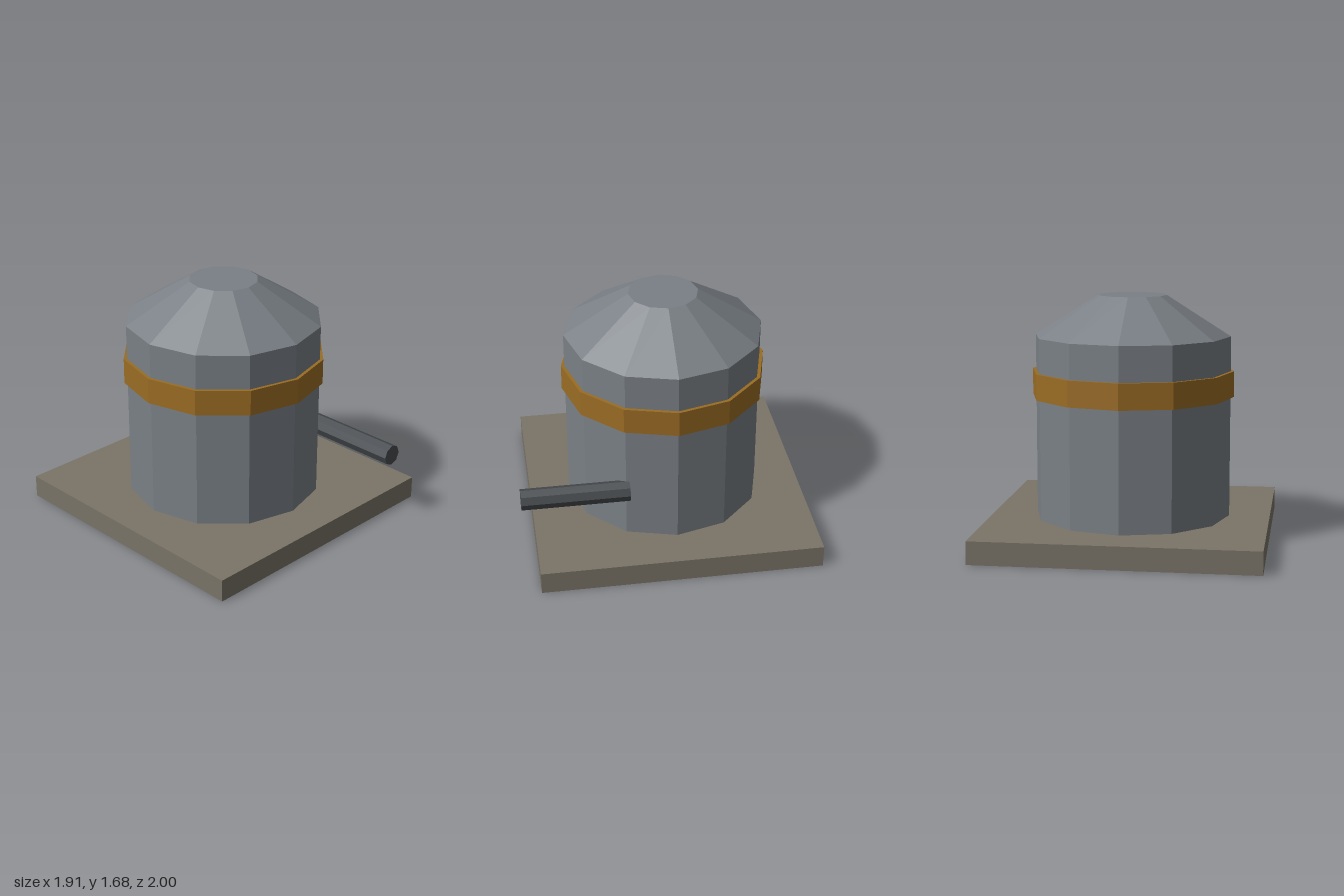
import * as THREE from 'three';

const CENTRE_Z = -0.045;

export function createModel() {
  const group = new THREE.Group();

  function add(name, geometry, color, x, y, z) {
    const material = new THREE.MeshStandardMaterial({ color, flatShading: true });
    const mesh = new THREE.Mesh(geometry, material);
    mesh.name = name;
    mesh.position.set(x, y, z);
    group.add(mesh);
    return mesh;
  }

  // Twelve-sided section between two heights on the tank axis
  function section(name, rTop, rBottom, y0, y1, color) {
    const geometry = new THREE.CylinderGeometry(rTop, rBottom, y1 - y0, 12);
    return add(name, geometry, color, 0, (y0 + y1) / 2, CENTRE_Z);
  }

  // Square slab
  add('base', new THREE.BoxGeometry(1.91, 0.157, 1.91), 0x7a7468, 0, 0.0785, CENTRE_Z);

  // Tank wall, sloping roof and band
  section('tank', 0.675, 0.675, 0.157, 1.4, 0x7a8086);
  section('roof', 0.236, 0.675, 1.4, 1.677, 0x7a8086);
  section('band', 0.698, 0.698, 0.985, 1.162, 0x9a6c24);

  // Outlet pipe pointing forwards
  const pipe = add('pipe', new THREE.CylinderGeometry(0.072, 0.072, 0.73, 8), 0x484c50, 0.59, 0.508, 0.635);
  pipe.rotation.x = Math.PI / 2;

  return group;
}
